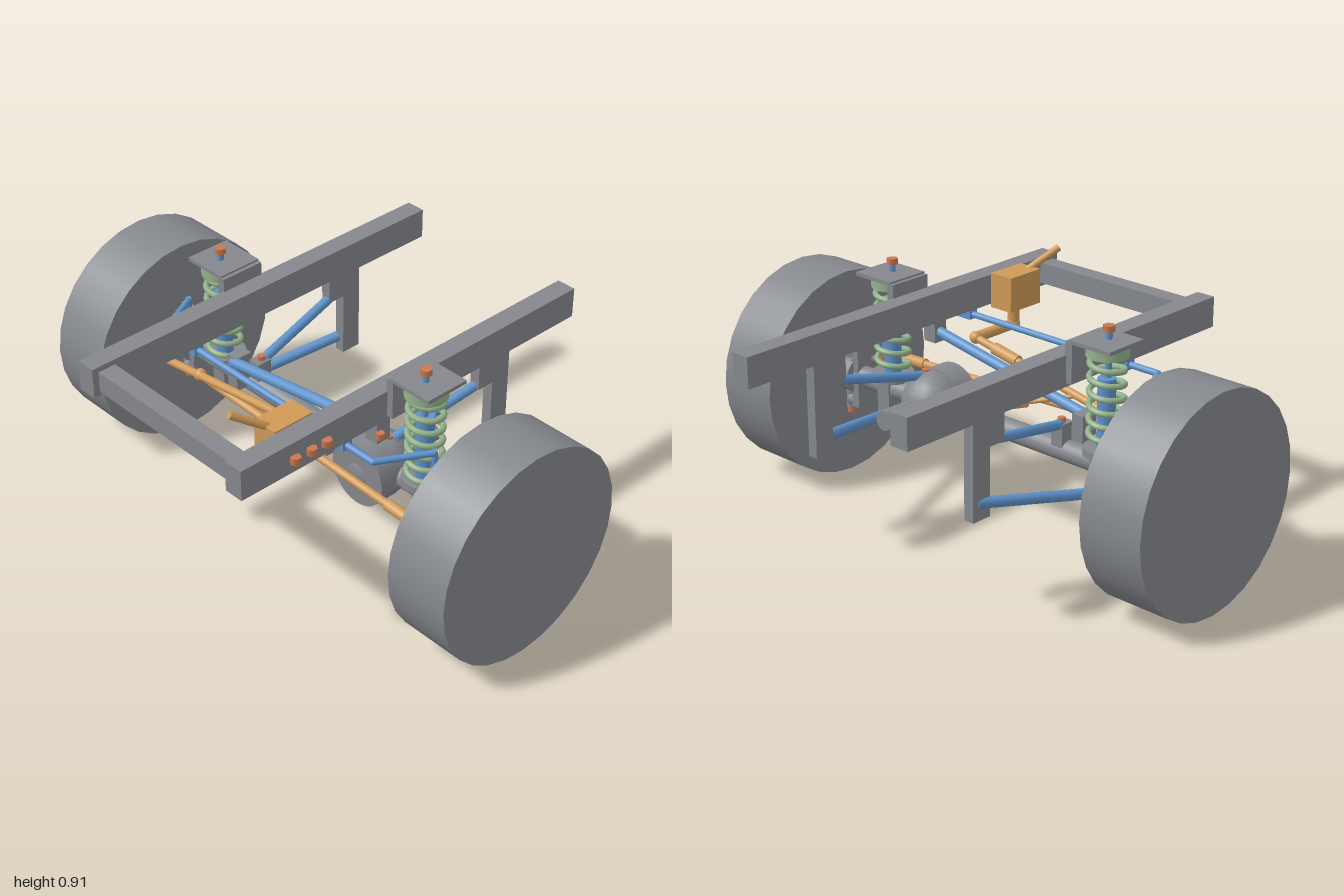
import * as THREE from 'three';

const mat = (name, color) => {
  const m = new THREE.MeshStandardMaterial({ color });
  m.name = name;
  return m;
};

export function createModel() {
  const grey = mat('steel grey', 0x85888d);
  const blue = mat('link blue', 0x5f93cb);
  const orange = mat('steering orange', 0xd09a58);
  const green = mat('spring green', 0x93b28c);
  const copper = mat('bolt copper', 0xcc7850);
  const root = new THREE.Group();
  root.name = 'frontSuspension';

  const add = (name, geo, m) => {
    const mesh = new THREE.Mesh(geo, m);
    mesh.name = name;
    root.add(mesh);
    return mesh;
  };
  // Box given by its limits on each axis
  const box = (name, m, x0, x1, y0, y1, z0, z1) =>
    add(name, new THREE.BoxGeometry(Math.abs(x1 - x0), y1 - y0, z1 - z0), m)
      .position.set((x0 + x1) / 2, (y0 + y1) / 2, (z0 + z1) / 2);
  // Round bar between two points
  const rod = (name, m, a, b, r, sides = 16) => {
    const p = new THREE.Vector3(...a), q = new THREE.Vector3(...b);
    const d = q.clone().sub(p);
    const mesh = add(name, new THREE.CylinderGeometry(r, r, d.length(), sides), m);
    mesh.position.copy(p).add(q).multiplyScalar(0.5);
    mesh.quaternion.setFromUnitVectors(new THREE.Vector3(0, 1, 0), d.normalize());
  };
  const ball = (name, m, p, r) =>
    add(name, new THREE.SphereGeometry(r, 16, 12), m).position.set(...p);
  const bolt = (name, x, y, z, r = 0.019, h = 0.025) =>
    rod(name, copper, [x, y - h / 2, z], [x, y + h / 2, z], r, 6);
  const mix = (a, b, t) => a.map((v, i) => v + (b[i] - v) * t);

  const AY = 0.405, AZ = 0.055;

  // Axle and differential
  rod('axleTube', grey, [-0.69, AY, AZ], [0.69, AY, AZ], 0.04, 24);
  ball('differentialHousing', grey, [0.3, AY, AZ], 0.12);
  rod('differentialCover', grey, [0.3, AY, 0.07], [0.3, AY, 0.165], 0.122, 28);
  rod('pinionHousing', grey, [0.3, AY, 0], [0.3, AY, -0.2], 0.038, 20);

  // Frame crossmember
  box('frontCrossmember', grey, -0.34, 0.34, 0.7, 0.78, 0.68, 0.75);

  // Spring path
  class Coil extends THREE.Curve {
    getPoint(t, target = new THREE.Vector3()) {
      const a = t * 6.5 * Math.PI * 2;
      return target.set(Math.cos(a) * 0.06, 0.475 + t * 0.33, Math.sin(a) * 0.06);
    }
  }
  const coilGeo = new THREE.TubeGeometry(new Coil(), 160, 0.011, 8);

  for (const s of [-1, 1]) {
    // Wheel and frame rail
    rod('wheel', grey, [s * 0.75, 0.402, AZ], [s, 0.402, AZ], 0.402, 28);
    box('frameRail', grey, s * 0.34, s * 0.415, 0.685, 0.8, -0.78, 0.775);

    // Axle yoke, knuckle and ball joints
    box('axleYoke', grey, s * 0.665, s * 0.7, 0.285, 0.53, 0.02, 0.09);
    for (const y of [0.3, 0.515])
      rod('yokeArm', grey, [s * 0.67, y, AZ], [s * 0.735, y, AZ], 0.03);
    rod('knuckle', grey, [s * 0.735, 0.265, AZ], [s * 0.735, 0.55, AZ], 0.024);
    rod('wheelHub', grey, [s * 0.69, AY, AZ], [s * 0.76, AY, AZ], 0.07, 20);
    rod('steeringArm', grey, [s * 0.738, 0.43, 0.07], [s * 0.7, 0.43, 0.235], 0.016);
    bolt('upperBallJoint', s * 0.74, 0.555, AZ);
    bolt('lowerBallJoint', s * 0.74, 0.255, AZ);

    // Coil spring over shock
    const sx = s * 0.515, sz = 0.06;
    add('coilSpring', coilGeo, green).position.set(sx, 0, sz);
    rod('springCup', green, [sx, 0.8, sz], [sx, 0.845, sz], 0.075, 24);
    rod('springPerch', grey, [sx, 0.44, sz], [sx, 0.468, sz], 0.078, 24);
    rod('shockBody', blue, [sx, 0.46, sz], [sx, 0.72, sz], 0.032);
    rod('shockRod', blue, [sx, 0.7, sz + 0.005], [sx, 0.89, sz + 0.005], 0.012);
    bolt('shockNut', sx, 0.895, sz + 0.005, 0.021, 0.022);
    box('towerPlate', grey, s * 0.425, s * 0.602, 0.843, 0.857, -0.035, 0.14);
    box('towerBracket', grey, s * 0.41, s * 0.44, 0.7, 0.85, -0.035, 0.14);

    // Link brackets
    box('lowerAxleBracket', grey, s * 0.49, s * 0.55, 0.3, 0.45, 0.01, 0.09);
    box('upperAxleBracket', grey, s * 0.305, s * 0.355, 0.41, 0.51, 0.02, 0.08);
    box('lowerFrameBracket', grey, s * 0.36, s * 0.4, 0.325, 0.69, -0.47, -0.39);
    box('upperFrameBracket', grey, s * 0.36, s * 0.4, 0.575, 0.69, -0.4, -0.32);

    // Control links
    rod('lowerLink', blue, [s * 0.515, 0.305, 0.03], [s * 0.385, 0.385, -0.44], 0.02);
    rod('upperLink', blue, [s * 0.33, 0.5, 0.05], [s * 0.38, 0.585, -0.35], 0.018);
    bolt('upperLinkBolt', s * 0.33, 0.515, 0.045, 0.015);

    // Anti-roll bar ends
    rod('rollBarArm', blue, [s * 0.53, 0.665, 0.315], [s * 0.628, 0.66, 0.13], 0.012);
    ball('rollBarElbow', blue, [s * 0.53, 0.665, 0.315], 0.012);
    rod('rollBarDropLink', blue, [s * 0.628, 0.47, 0.125], [s * 0.628, 0.67, 0.13], 0.011);
    bolt('dropLinkBolt', s * 0.63, 0.47, 0.125, 0.017, 0.03);
    rod('dropLinkMount', grey, [s * 0.63, 0.45, 0.125], [s * 0.55, 0.43, 0.07], 0.014);
    box('rollBarBushing', blue, s * 0.345, s * 0.41, 0.648, 0.688, 0.295, 0.335);
  }
  rod('rollBar', blue, [-0.53, 0.665, 0.315], [0.53, 0.665, 0.315], 0.012);

  // Track bar with its brackets
  rod('trackBar', blue, [-0.38, 0.515, 0.135], [0.375, 0.64, 0.15], 0.02);
  box('trackBarAxleBracket', grey, -0.405, -0.355, 0.4, 0.54, 0.07, 0.14);
  box('trackBarFrameBracket', grey, 0.355, 0.41, 0.6, 0.69, 0.12, 0.18);
  bolt('trackBarBolt', 0.42, 0.64, 0.175, 0.016);

  // Drag link and tie rod with adjusting sleeves
  const dragA = [-0.7, 0.435, 0.235], dragB = [0.29, 0.6, 0.27];
  const tieA = [-0.44, 0.478, 0.24], tieB = [0.69, 0.435, 0.235];
  rod('dragLink', orange, dragA, dragB, 0.015);
  rod('dragLinkSleeve', orange, mix(dragA, dragB, 0.78), mix(dragA, dragB, 0.9), 0.023);
  rod('tieRod', orange, tieA, tieB, 0.015);
  rod('tieRodSleeve', orange, mix(tieA, tieB, 0.85), mix(tieA, tieB, 0.94), 0.021);
  for (const p of [dragA, dragB, tieA, tieB]) ball('rodEnd', orange, p, 0.024);

  // Steering damper
  const dampA = [-0.22, 0.515, 0.25], dampB = [0.12, 0.405, 0.15];
  rod('damperRod', orange, dampA, dampB, 0.009);
  rod('damperBody', orange, mix(dampA, dampB, 0.55), dampB, 0.019);
  box('damperBracket', grey, 0.085, 0.13, 0.38, 0.43, 0.08, 0.15);

  // Steering box, input shaft and drop arm
  box('steeringBox', orange, 0.24, 0.34, 0.672, 0.806, 0.405, 0.567);
  rod('steeringShaft', orange, [0.29, 0.795, 0.55], [0.235, 0.868, 0.665], 0.014);
  rod('steeringOutput', orange, [0.29, 0.59, 0.475], [0.29, 0.68, 0.475], 0.022);
  ball('dropArmHub', orange, [0.29, 0.6, 0.475], 0.026);
  rod('dropArm', orange, [0.29, 0.6, 0.475], dragB, 0.02);
  for (const z of [0.42, 0.485, 0.555]) bolt('steeringBoxBolt', 0.425, 0.74, z, 0.02);

  return root;
}
